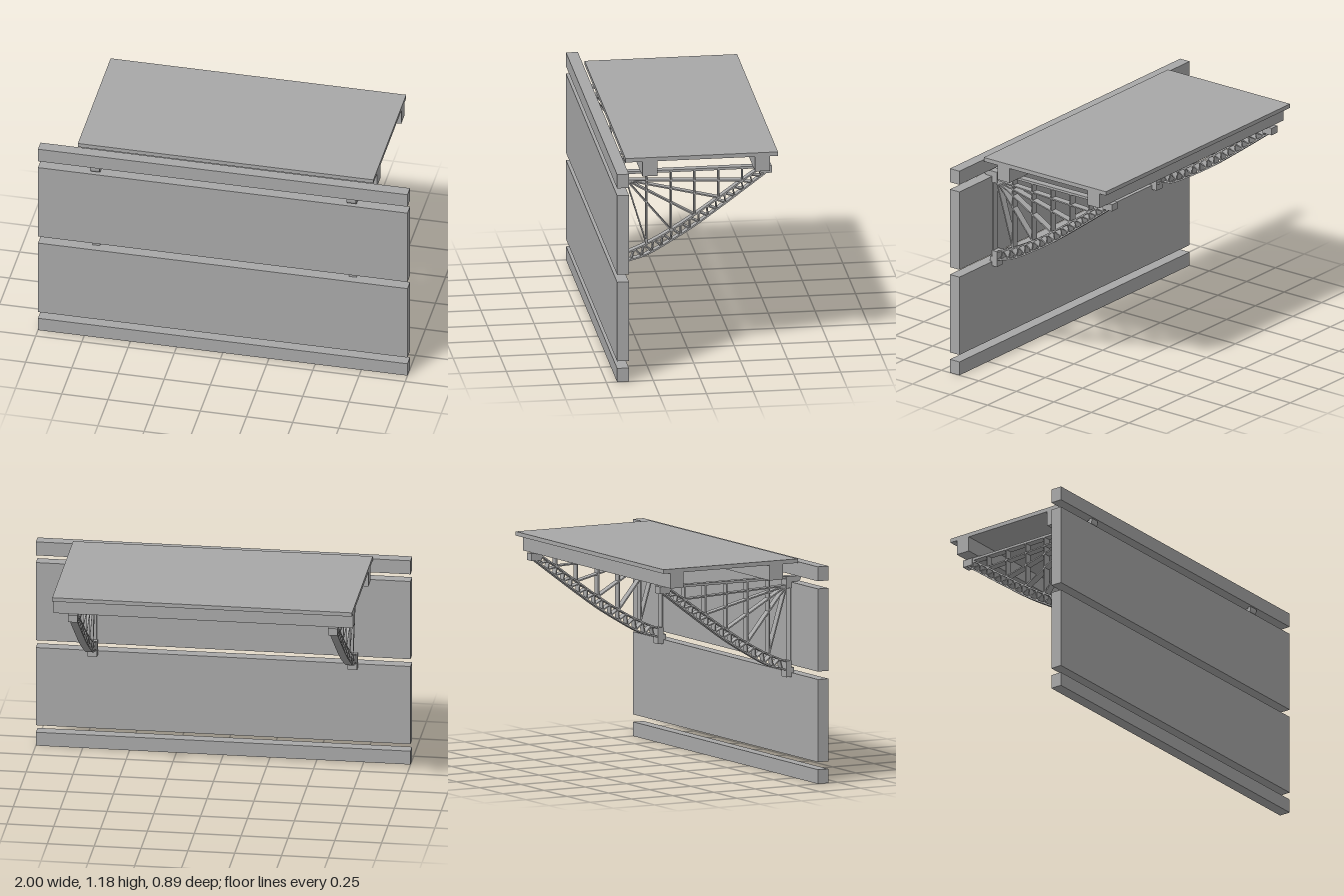
import * as THREE from 'three';

const grey = new THREE.MeshStandardMaterial({ color: 0xa8a8a8 });
grey.name = 'plain grey';

// Box given by its min and max on each axis
function box(parent, name, x0, x1, y0, y1, z0, z1) {
  const m = new THREE.Mesh(new THREE.BoxGeometry(x1 - x0, y1 - y0, z1 - z0), grey);
  m.position.set((x0 + x1) / 2, (y0 + y1) / 2, (z0 + z1) / 2);
  m.name = name;
  parent.add(m);
}

// Flat bar between two [z, y] points, wide across x
function bar(parent, name, a, b, thick, width) {
  const dz = b[0] - a[0], dy = b[1] - a[1];
  const m = new THREE.Mesh(new THREE.BoxGeometry(width, thick, Math.hypot(dz, dy)), grey);
  m.position.set(0, (a[1] + b[1]) / 2, (a[0] + b[0]) / 2);
  m.rotation.x = -Math.atan2(dy, dz);
  m.name = name;
  parent.add(m);
}

// Side outline in [z, y], extruded across x and centred
function extrudeAcross(parent, name, shape, width) {
  const g = new THREE.ExtrudeGeometry(shape, { depth: width, bevelEnabled: false, curveSegments: 10 });
  g.translate(0, 0, -width / 2);
  g.rotateY(-Math.PI / 2);
  const m = new THREE.Mesh(g, grey);
  m.name = name;
  parent.add(m);
}

const curve = (pts) => new THREE.CatmullRomCurve3(pts.map(([z, y]) => new THREE.Vector3(z, y, 0)));

// Curved strip of even thickness that follows a chord
function strip(parent, name, c, thick, width) {
  const n = 40, near = [], far = [];
  for (let i = 0; i <= n; i++) {
    const p = c.getPointAt(i / n), t = c.getTangentAt(i / n);
    const ox = -t.y * thick / 2, oy = t.x * thick / 2;
    near.push(new THREE.Vector2(p.x + ox, p.y + oy));
    far.unshift(new THREE.Vector2(p.x - ox, p.y - oy));
  }
  extrudeAcross(parent, name, new THREE.Shape([...near, ...far]), width);
}

function createBracket() {
  const b = new THREE.Group();
  const W = 0.04, B = 0.025;

  // Top bar, back bar and end blocks
  box(b, 'topBar', -W / 2, W / 2, 1.061, 1.074, -0.365, 0.35);
  box(b, 'backBar', -W / 2, W / 2, 0.62, 1.012, 0.373, 0.378);
  box(b, 'cornerBlock', -B, B, 1.011, 1.074, 0.346, 0.378);
  box(b, 'footBlock', -B, B, 0.536, 0.623, 0.346, 0.378);
  box(b, 'footPeg', -W / 2, W / 2, 0.558, 0.586, 0.376, 0.397);
  box(b, 'tipBlock', -B, B, 1.035, 1.074, -0.421, -0.361);

  // Rounded hook that reaches through the slot in the wall
  const hook = new THREE.Shape();
  hook.moveTo(0.376, 1.044);
  hook.lineTo(0.41, 1.044);
  hook.quadraticCurveTo(0.435, 1.046, 0.435, 1.07);
  hook.lineTo(0.435, 1.082);
  hook.lineTo(0.419, 1.082);
  hook.quadraticCurveTo(0.419, 1.074, 0.41, 1.074);
  hook.lineTo(0.376, 1.074);
  extrudeAcross(b, 'hook', hook, B * 2);

  // Curved lattice arm
  const nodes = [[0.246, 0.664], [0.115, 0.735], [-0.01, 0.815], [-0.139, 0.905], [-0.265, 0.995]];
  const upper = curve([[0.35, 0.62], ...nodes, [-0.365, 1.064]]);
  const lower = curve([[0.35, 0.574], [0.25, 0.604], [0.115, 0.678], [-0.01, 0.756],
    [-0.139, 0.848], [-0.265, 0.941], [-0.393, 1.037]]);
  strip(b, 'upperChord', upper, 0.008, W);
  strip(b, 'lowerChord', lower, 0.008, W);
  const cells = 15;
  const at = (c, t) => { const p = c.getPointAt(t); return [p.x, p.y]; };
  for (let i = 0; i < cells; i++) {
    const mid = at(upper, (i + 0.75) / cells);
    bar(b, 'latticeRung', at(lower, (i + 0.4) / cells), mid, 0.006, W);
    bar(b, 'latticeDiagonal', mid, at(lower, Math.min(1, (i + 1.4) / cells)), 0.006, W);
  }

  // Upright struts and fan of spokes from the corner
  for (const p of nodes) {
    bar(b, 'strut', [p[0], 1.063], p, 0.007, W);
    bar(b, 'fanSpoke', [0.354, 1.025], p, 0.007, W);
  }
  return b;
}

export function createModel() {
  const model = new THREE.Group();

  // Slatted wall
  for (const [name, y0, y1] of [['bottomRail', 0, 0.076], ['lowerPanel', 0.116, 0.558],
    ['upperPanel', 0.6, 1.042], ['topRail', 1.083, 1.16]]) {
    box(model, name, -1, 1, y0, y1, 0.38, 0.443);
  }

  // Shelf board with its two beams
  box(model, 'shelfBoard', -0.8, 0.8, 1.156, 1.178, -0.443, 0.371);
  box(model, 'frontBeam', -0.8, 0.8, 1.074, 1.156, 0.2, 0.28);
  box(model, 'rearBeam', -0.8, 0.8, 1.074, 1.156, -0.4, -0.321);

  for (const side of [-1, 1]) {
    const bracket = createBracket();
    bracket.name = side > 0 ? 'leftBracket' : 'rightBracket';
    bracket.position.x = side * 0.694;
    model.add(bracket);
  }
  return model;
}
